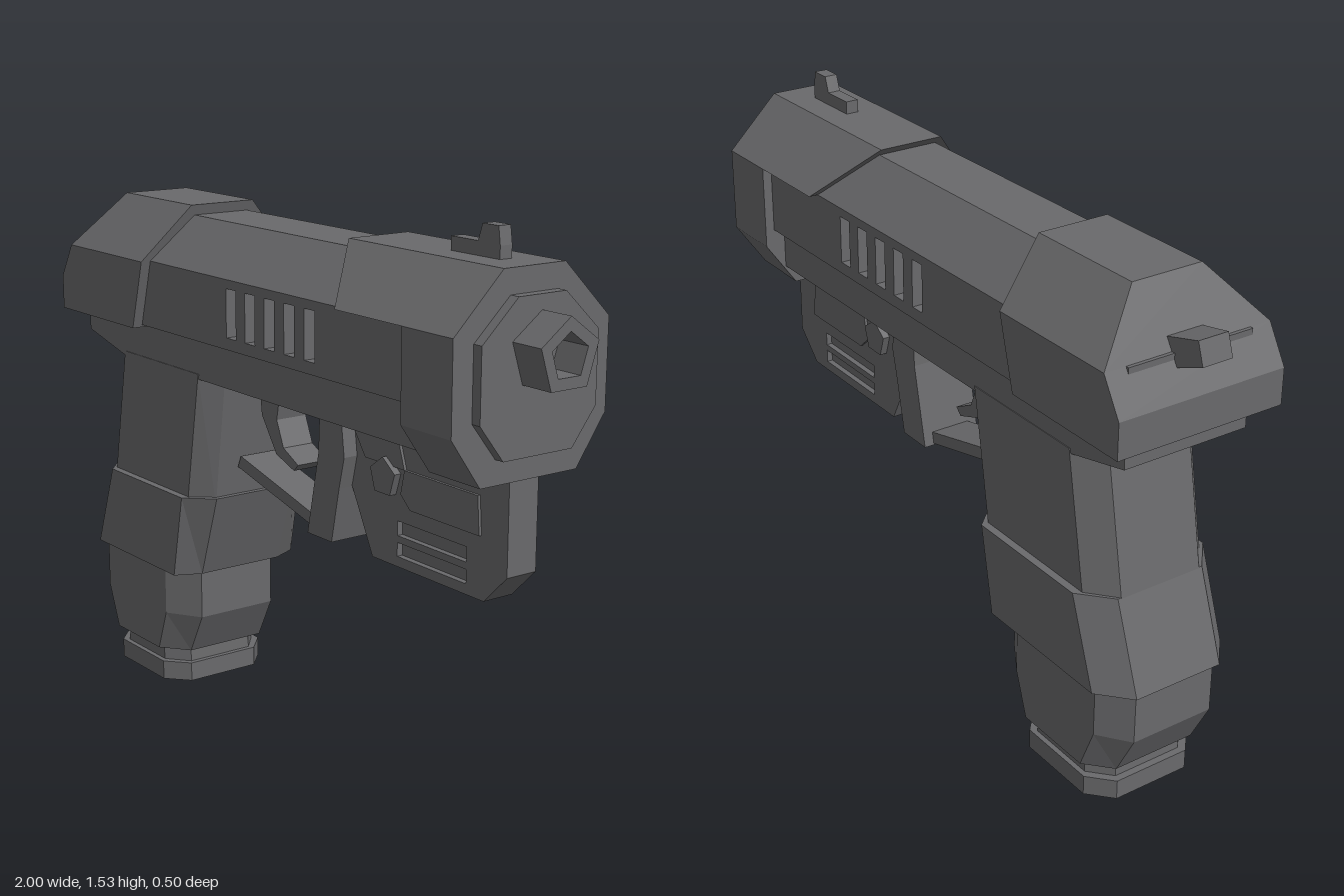
import * as THREE from 'three';

const gunmetal = new THREE.MeshStandardMaterial({ color: 0x69696b });
gunmetal.name = 'dark grey';

export function createModel() {
  const model = new THREE.Group();
  model.name = 'pistol';

  const add = (name, geometry) => {
    const mesh = new THREE.Mesh(geometry, gunmetal);
    mesh.name = name;
    model.add(mesh);
    return mesh;
  };

  const trace = (target, pts) => {
    pts.forEach(([x, y], i) => (i ? target.lineTo(x, y) : target.moveTo(x, y)));
    target.closePath();
    return target;
  };

  // Side outline extruded from z0 to z1, with optional holes
  const prism = (pts, z0, z1, holes = []) => {
    const shape = trace(new THREE.Shape(), pts);
    holes.forEach((h) => shape.holes.push(trace(new THREE.Path(), h)));
    const g = new THREE.ExtrudeGeometry(shape, { depth: z1 - z0, bevelEnabled: false });
    return g.translate(0, 0, z0);
  };
  const rect = (x0, y0, x1, y1) => [[x0, y0], [x1, y0], [x1, y1], [x0, y1]];
  const bothSides = (name, pts, z0, z1, holes) => {
    add(name + 'Left', prism(pts, z0, z1, holes));
    add(name + 'Right', prism(pts, -z1, -z0, holes));
  };

  // Solid through rings; each half ring [x, y, z] is mirrored across z = 0
  const loft = (halves) => {
    const rings = halves.map((h) => [...h, ...[...h].reverse().map(([x, y, z]) => [x, y, -z])]);
    const n = rings[0].length;
    const tris = [];
    const quad = (a, b, c, d) => tris.push([a, b, c], [a, c, d]);
    for (let r = 0; r + 1 < rings.length; r++) {
      for (let i = 0; i < n; i++) {
        const j = (i + 1) % n;
        quad(rings[r][i], rings[r][j], rings[r + 1][j], rings[r + 1][i]);
      }
    }
    const first = rings[0], last = rings[rings.length - 1];
    for (let i = 0; i < n / 2 - 1; i++) {
      quad(first[n - 1 - i], first[n - 2 - i], first[i + 1], first[i]);
      quad(last[i], last[i + 1], last[n - 2 - i], last[n - 1 - i]);
    }
    // Turn all faces outward
    let volume = 0;
    for (const [a, b, c] of tris) {
      volume += new THREE.Vector3(...a).dot(new THREE.Vector3(...b).cross(new THREE.Vector3(...c)));
    }
    if (volume < 0) tris.forEach((t) => t.reverse());
    const g = new THREE.BufferGeometry();
    g.setAttribute('position', new THREE.Float32BufferAttribute(tris.flat(2), 3));
    g.computeVertexNormals();
    return g;
  };
  // Straight loft along x from a half profile of [y, z]
  const alongX = (x0, x1, half) => loft([x0, x1].map((x) => half.map(([y, z]) => [x, y, z])));

  // Frame under the slide
  add('frame', prism([[-0.91, 1.3], [-0.91, 1.035], [-0.7, 0.985], [0.7, 0.985], [0.7, 1.3]], -0.187, 0.187));

  // Slide: roof and slotted side plates
  add('slideRoof', alongX(-0.6, 0.7, [[1.3, 0.22], [1.425, 0.09]]));
  const slots = [];
  for (let i = 0; i < 5; i++) {
    const x = -0.105 + i * 0.09;
    slots.push(rect(x, 1.14, x + 0.046, 1.275));
  }
  bothSides('slideSide', rect(-0.6, 1.107, 0.7, 1.3), 0.187, 0.22, slots);

  // Rear cover with slanted ends
  const rearProfile = [[1.1, 0.25], [1.2, 0.25], [1.3, 0.25], [1.455, 0.105]];
  const rearX = [-0.96, -0.96, -0.9, -0.81];
  add('rearCover', loft([
    rearProfile.map(([y, z], i) => [rearX[i], y, z]),
    rearProfile.map(([y, z]) => [-0.55 + (y - 1.1) * 0.28, y, z]),
  ]));

  // Hammer
  add('hammer', loft([
    [[-1, 1.297, 0.045], [-0.98, 1.357, 0.045]],
    [[-0.85, 1.24, 0.058], [-0.83, 1.32, 0.058]],
  ]));

  // Front shroud and muzzle block
  add('frontShroud', loft([
    [[0.42, 1.3, 0.247], [0.28, 1.447, 0.097]],
    [[0.69, 1.3, 0.247], [0.69, 1.447, 0.097]],
  ]));
  add('muzzleBlock', alongX(0.685, 0.873, [[0.928, 0.155], [1.06, 0.247], [1.3, 0.247], [1.447, 0.097]]));
  add('muzzleRing', alongX(0.86, 0.902, [[0.993, 0.11], [1.09, 0.185], [1.28, 0.185], [1.383, 0.075]]));

  // Five-sided barrel with an open bore
  const pentagon = (cx, cy, r) => Array.from({ length: 5 }, (_, i) => {
    const a = Math.PI / 2 + (i * Math.PI * 2) / 5;
    return [cx + r * Math.cos(a), cy + r * Math.sin(a)];
  });
  const barrel = add('barrel', prism(pentagon(0, 0, 0.096), 0, 0.12, [pentagon(0, 0, 0.06)]));
  barrel.rotation.y = Math.PI / 2;
  barrel.position.set(0.88, 1.249, 0);

  // Front sight
  add('frontSight', prism([[0.59, 1.43], [0.77, 1.43], [0.77, 1.48], [0.763, 1.527], [0.705, 1.527],
    [0.69, 1.483], [0.59, 1.483]], -0.019, 0.019));

  // Eight-sided grip sections: [y, back, backInner, frontInner, front]
  const gripPart = (name, zSide, zEnd, rows) => add(name, loft(rows.map(([y, a, b, c, d]) =>
    [[a, y, zEnd], [b, y, zSide], [c, y, zSide], [d, y, zEnd]])));
  gripPart('upperGrip', 0.189, 0.125, [
    [1.0, -0.777, -0.702, -0.3, -0.257], [0.6, -0.85, -0.775, -0.368, -0.315]]);
  gripPart('middleGrip', 0.211, 0.135, [
    [0.625, -0.845, -0.76, -0.365, -0.295], [0.375, -0.935, -0.85, -0.415, -0.38]]);
  gripPart('lowerGrip', 0.189, 0.125, [
    [0.4, -0.92, -0.835, -0.5, -0.4], [0.23, -0.92, -0.835, -0.5, -0.4], [0.105, -0.855, -0.785, -0.545, -0.465]]);
  gripPart('magazineNeck', 0.16, 0.105, [
    [0.12, -0.825, -0.765, -0.565, -0.5], [0.05, -0.83, -0.77, -0.56, -0.495]]);
  gripPart('magazineBase', 0.175, 0.115, [
    [0.057, -0.85, -0.785, -0.545, -0.48], [0, -0.85, -0.785, -0.545, -0.48]]);

  // Trigger and its guard
  add('trigger', prism([[-0.2, 1], [-0.185, 0.885], [-0.115, 0.785], [-0.03, 0.755], [-0.01, 0.775],
    [-0.08, 0.81], [-0.112, 0.885], [-0.09, 1]], -0.05, 0.05));
  add('guardBar', prism([[-0.295, 0.71], [0.12, 0.61], [0.12, 0.645], [-0.28, 0.745]], -0.06, 0.06));
  add('guardPost', prism([[0.09, 0.613], [0.2, 0.613], [0.233, 0.77], [0.255, 0.86], [0.237, 1],
    [0.147, 1], [0.14, 0.85]], -0.09, 0.09));

  // Under-barrel module with slotted sides
  const moduleOutline = [[0.22, 1], [0.23, 0.78], [0.325, 0.597], [0.773, 0.597], [0.857, 0.68], [0.857, 1]];
  add('moduleCore', prism(moduleOutline, -0.03, 0.03));
  bothSides('moduleSide', moduleOutline, 0.03, 0.047,
    [rect(0.43, 0.625, 0.705, 0.663), rect(0.43, 0.682, 0.705, 0.722)]);
  bothSides('modulePanel', [[0.49, 0.765], [0.76, 0.765], [0.752, 0.867], [0.465, 0.867], [0.45, 0.8]], 0.047, 0.055);
  bothSides('moduleBracket', [[0.255, 1], [0.255, 0.93], [0.3, 0.867], [0.465, 0.867], [0.42, 1]], 0.047, 0.055);
  bothSides('moduleButton', pentagon(0.39, 0.835, 0.054), 0.047, 0.068);

  return model;
}
